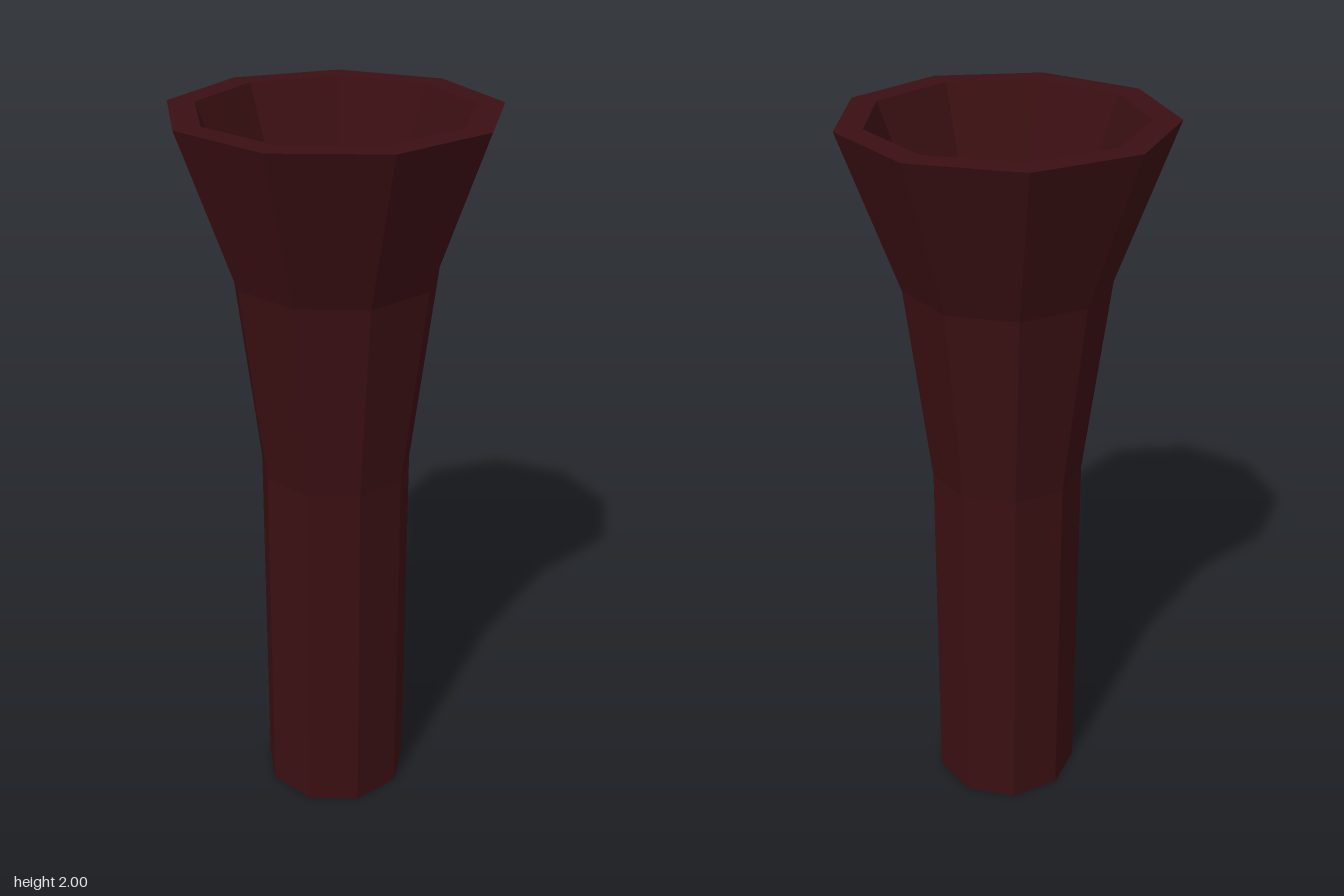
import * as THREE from 'three';

export function createModel() {
  const model = new THREE.Group();
  model.name = 'flaredVessel';
  const darkMaroon = new THREE.MeshStandardMaterial({ color: 0x3a0f12 });
  darkMaroon.name = 'dark maroon';

  // Nine-sided solid of revolution, one corner pointing to the back, faceted
  const facetedLathe = (name, profile) => {
    const points = profile.map(([r, y]) => new THREE.Vector2(r, y));
    const geometry = new THREE.LatheGeometry(points, 9, Math.PI).toNonIndexed();
    geometry.computeVertexNormals();
    const mesh = new THREE.Mesh(geometry, darkMaroon);
    mesh.name = name;
    mesh.position.z = 0.01; // centres the odd-sided outline
    model.add(mesh);
  };

  // Straight shaft with a closed base, widening to the flared mouth
  facetedLathe('shaftAndFlare', [[0, 0], [0.207, 0], [0.207, 1.03], [0.275, 1.58], [0.4255, 2]]);
  // Flat rim around the mouth
  facetedLathe('rim', [[0.4255, 2], [0.354, 2]]);
  // Tapering hollow and its flat floor
  facetedLathe('hollow', [[0.354, 2], [0.178, 1.55], [0, 1.55]]);

  return model;
}
